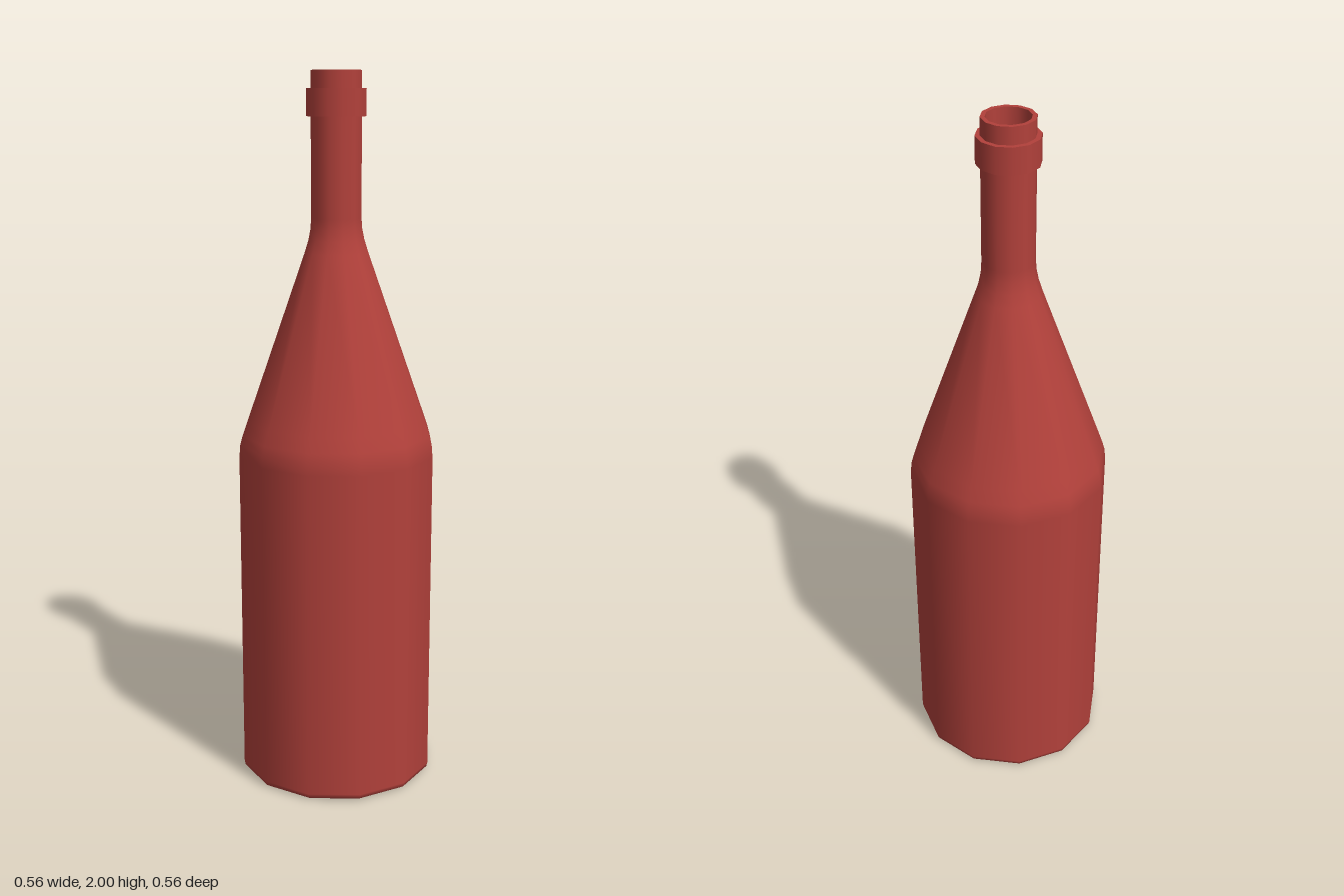
import * as THREE from 'three';

const SIDES = 12;

export function createModel() {
  const group = new THREE.Group();
  group.name = 'bottle';
  const redGlass = new THREE.MeshStandardMaterial({ color: 0xb2413b });
  redGlass.name = 'redGlass';

  // Each profile is a smooth band of [radius, height]; separate bands meet at sharp edges
  const addLathe = (name, profile) => {
    const points = profile.map(([r, y]) => new THREE.Vector2(r, y));
    const mesh = new THREE.Mesh(new THREE.LatheGeometry(points, SIDES), redGlass);
    mesh.name = name;
    group.add(mesh);
  };

  // Base, straight body, sloping shoulder and neck
  addLathe('body', [
    [0, 0], [0.268, 0], [0.277, 0.006], [0.28, 0.018], [0.28, 0.95], [0.277, 0.985],
    [0.27, 1.01], [0.256, 1.05], [0.09, 1.515], [0.079, 1.55],
    [0.073, 1.58], [0.071, 1.61], [0.071, 2],
  ]);

  // Raised collar below the mouth
  addLathe('collarUnderside', [[0.07, 1.88], [0.084, 1.88]]);
  addLathe('collarBand', [[0.084, 1.88], [0.084, 1.953]]);
  addLathe('collarTop', [[0.084, 1.953], [0.07, 1.953]]);

  // Flat lip and hollow inside
  addLathe('lip', [[0.071, 2], [0.059, 2]]);
  addLathe('innerWall', [
    [0.059, 2], [0.059, 1.61], [0.078, 1.515], [0.244, 1.05], [0.265, 0.95], [0.265, 0.02],
  ]);
  addLathe('innerFloor', [[0.265, 0.02], [0, 0.02]]);

  return group;
}
